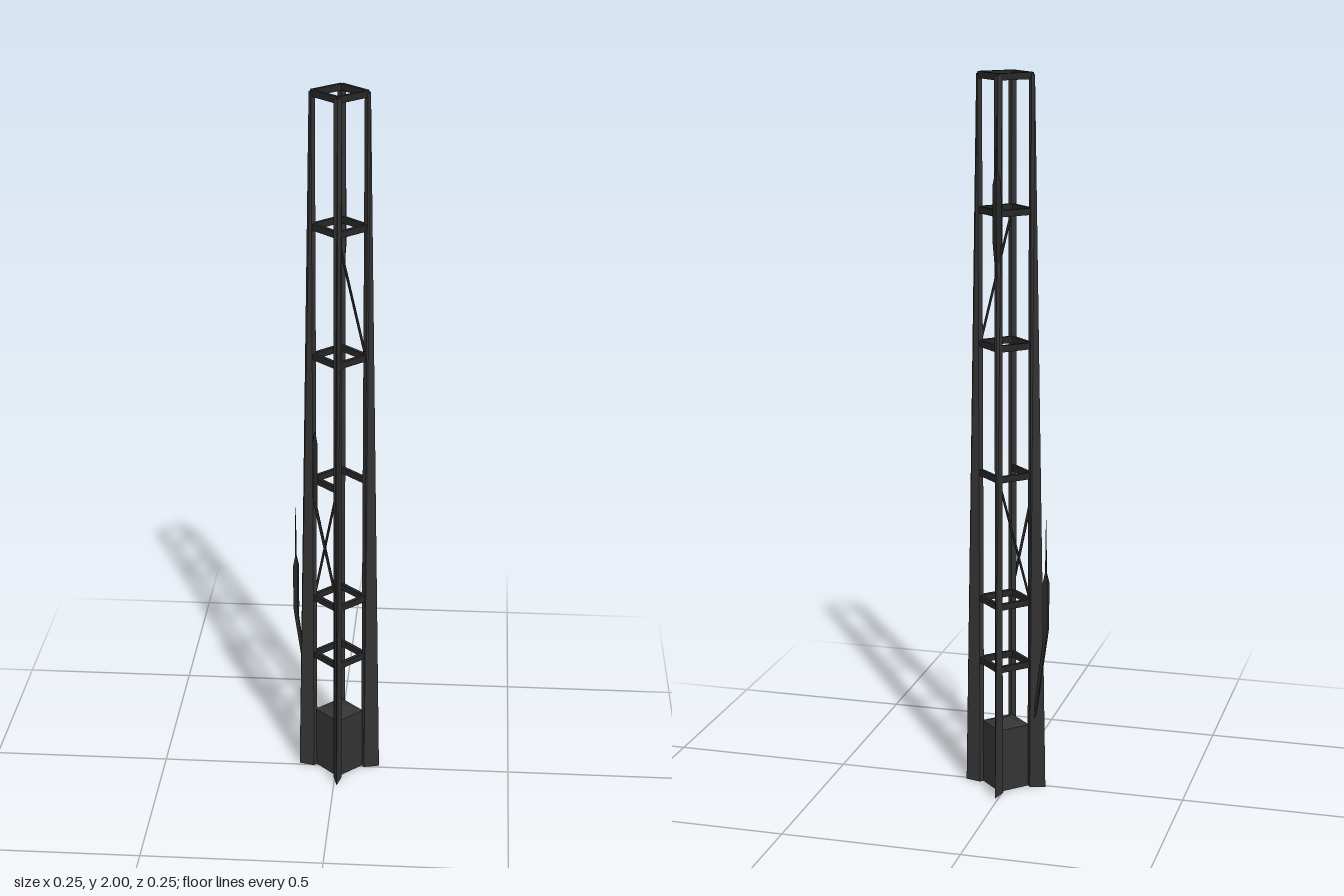
import * as THREE from 'three';

const steel = new THREE.MeshStandardMaterial({ color: 0x343434 });
steel.name = 'dark steel';
const iron = new THREE.MeshStandardMaterial({ color: 0x272727 });
iron.name = 'blackened iron';

// Flat-faced solid through rings listed bottom to top, each counterclockwise from above
function loft(rings) {
  const pos = [];
  const tri = (a, b, c) => pos.push(...a, ...b, ...c);
  const n = rings[0].length;
  for (let i = 0; i < rings.length - 1; i++) {
    for (let j = 0; j < n; j++) {
      const k = (j + 1) % n, lo = rings[i], hi = rings[i + 1];
      tri(lo[j], lo[k], hi[k]);
      tri(lo[j], hi[k], hi[j]);
    }
  }
  const bottom = rings[0], top = rings[rings.length - 1];
  for (let j = 1; j < n - 1; j++) {
    tri(bottom[0], bottom[j + 1], bottom[j]);
    tri(top[0], top[j], top[j + 1]);
  }
  const g = new THREE.BufferGeometry();
  g.setAttribute('position', new THREE.Float32BufferAttribute(pos, 3));
  g.computeVertexNormals();
  return g;
}

// Diamond ring: height, outward offset, half width, half depth
const diamond = ([y, z, w, d]) => [[w, y, z], [0, y, z - d], [-w, y, z], [0, y, z + d]];

function add(parent, name, geometry, material) {
  const mesh = new THREE.Mesh(geometry, material);
  mesh.name = name;
  parent.add(mesh);
  return mesh;
}

export function createModel() {
  const model = new THREE.Group();
  model.name = 'latticeTower';
  const tower = new THREE.Group();
  tower.name = 'tower';
  tower.position.set(0.0085, 0, -0.0085);
  model.add(tower);

  // Four finned corner legs, the fins narrowing upward
  const kite = (y, tip) => [[0.011, y, 0.073], [0, y, 0.064], [-0.011, y, 0.073], [0, y, tip]];
  const legGeometry = loft([kite(0, 0.116), kite(1.995, 0.08)]);
  for (let i = 0; i < 4; i++) {
    add(tower, 'cornerLeg', legGeometry, steel).rotation.y = i * Math.PI / 2;
  }

  // Solid foot with a shallow pyramid cap
  add(tower, 'foot', loft([
    diamond([0, 0, 0.068, 0.068]),
    diamond([0.183, 0, 0.068, 0.068]),
    diamond([0.2, 0, 0.0005, 0.0005]),
  ]), steel);

  // Horizontal rails on each face; one is missing on the front left
  const railGeometry = new THREE.BoxGeometry(0.102, 0.018, 0.01);
  for (const y of [0.365, 0.547, 0.91, 1.272, 1.635, 1.991]) {
    for (let i = 0; i < 4; i++) {
      if (y === 0.91 && i === 0) continue;
      const a = Math.PI / 4 + i * Math.PI / 2;
      const rail = add(tower, 'rail', railGeometry, iron);
      rail.position.set(Math.sin(a) * 0.051, y, Math.cos(a) * 0.051);
      rail.rotation.y = a;
    }
  }

  // Thin diagonal braces
  const braces = [
    [[0, 1.63, 0.07], [0.07, 1.275, 0]],
    [[0, 0.905, -0.07], [-0.07, 0.55, 0]],
  ];
  for (const [from, to] of braces) {
    const curve = new THREE.LineCurve3(new THREE.Vector3(...from), new THREE.Vector3(...to));
    add(tower, 'brace', new THREE.TubeGeometry(curve, 1, 0.0035, 4), iron);
  }

  // Bladed spikes, each rising outward from a leg: x, z, outward angle, rings
  const spikes = [
    [0, 0.075, Math.atan2(-0.058, 0.045), [
      [0.56, 0, 0.005, 0.004], [0.88, 0.071, 0.008, 0.005], [0.9, 0.073, 0.012, 0.007],
      [1.07, 0.073, 0.012, 0.007], [1.1, 0.073, 0.003, 0.002]]],
    [-0.08, 0, Math.atan2(-0.048, -0.047), [
      [0.18, 0, 0.005, 0.004], [0.46, 0.063, 0.008, 0.005], [0.49, 0.065, 0.011, 0.006],
      [0.62, 0.065, 0.011, 0.006], [0.65, 0.065, 0.003, 0.002], [0.8, 0.065, 0.001, 0.001]]],
    [0, -0.08, Math.PI, [
      [1.46, 0, 0.005, 0.004], [1.56, 0.007, 0.012, 0.007], [1.71, 0.008, 0.012, 0.007],
      [1.75, 0.008, 0.004, 0.003], [1.89, 0.008, 0.001, 0.001]]],
  ];
  for (const [x, z, angle, rings] of spikes) {
    const spike = add(tower, 'sideSpike', loft(rings.map(diamond)), iron);
    spike.position.set(x, 0, z);
    spike.rotation.y = angle;
  }

  return model;
}
